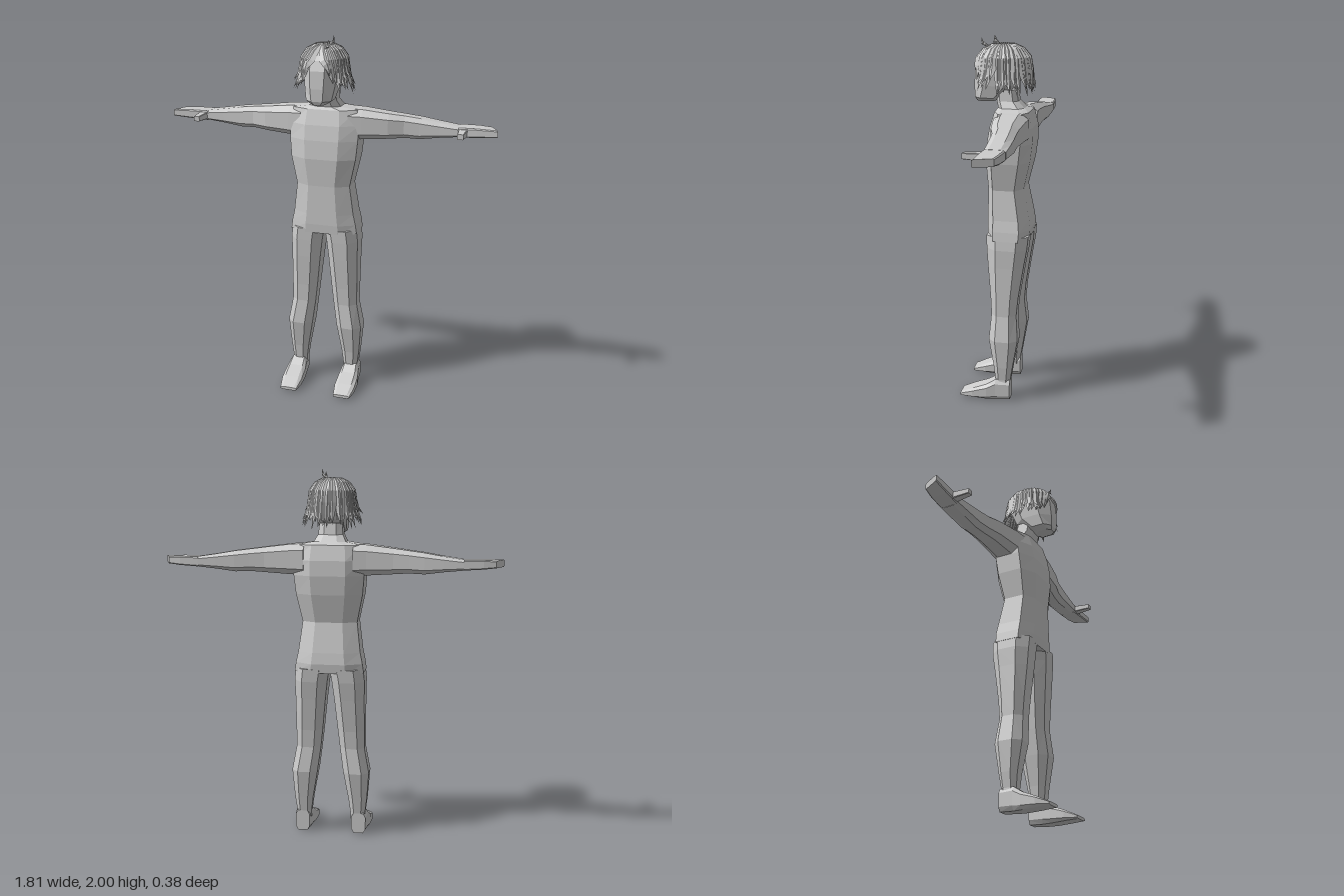
import * as THREE from 'three';

const grey = new THREE.MeshStandardMaterial({ color: 0xcccccc, flatShading: true });
grey.name = 'plain grey';

// Skin a list of equal-length closed rings, cap both ends, and face it outward
function loft(rings) {
  const n = rings[0].length, pos = rings.flat(2), idx = [];
  const total = rings.length * n;
  for (let r = 0; r < rings.length - 1; r++) {
    for (let i = 0; i < n; i++) {
      const a = r * n + i, b = r * n + (i + 1) % n;
      idx.push(a, b, b + n, a, b + n, a + n);
    }
  }
  for (let i = 1; i < n - 1; i++) {
    const e = total - n;
    idx.push(0, i + 1, i, e, e + i, e + i + 1);
  }
  const v = (k) => new THREE.Vector3().fromArray(pos, idx[k] * 3);
  let volume = 0;
  for (let k = 0; k < idx.length; k += 3) volume += v(k).dot(v(k + 1).cross(v(k + 2)));
  if (volume < 0) idx.reverse();
  const g = new THREE.BufferGeometry();
  g.setAttribute('position', new THREE.Float32BufferAttribute(pos, 3));
  g.setIndex(idx);
  g.computeVertexNormals();
  return g;
}

// Bevelled rectangle from (u0, v0) to (u1, v1)
function bevelRect(u0, u1, v0, v1, bu = 0.25, bv = 0.22) {
  const a = (u1 - u0) * bu, b = (v1 - v0) * bv;
  return [[u0 + a, v0], [u1 - a, v0], [u1, v0 + b], [u1, v1 - b],
    [u1 - a, v1], [u0 + a, v1], [u0, v1 - b], [u0, v0 + b]];
}
const ringY = (y, x0, x1, z0, z1, bu, bv) => bevelRect(x0, x1, z0, z1, bu, bv).map(([x, z]) => [x, y, z]);
const ringX = (x, y0, y1, z0, z1, bu, bv) => bevelRect(y0, y1, z0, z1, bu, bv).map(([y, z]) => [x, y, z]);
const ringZ = (z, x0, x1, y0, y1, bu, bv) => bevelRect(x0, x1, y0, y1, bu, bv).map(([x, y]) => [x, y, z]);

function add(parent, name, geometry) {
  const mesh = new THREE.Mesh(geometry, grey);
  mesh.name = name;
  parent.add(mesh);
  return mesh;
}

// One tapered lock following a list of points, lying flat on the head
function lock(points, width, thick) {
  const curve = new THREE.CatmullRomCurve3(points.map((p) => new THREE.Vector3(...p)));
  const centre = new THREE.Vector3(0, 1.8, -0.015), steps = 6, rings = [];
  for (let i = 0; i <= steps; i++) {
    const t = i / steps, p = curve.getPoint(t), tan = curve.getTangent(t);
    const out = p.clone().sub(centre).normalize();
    const side = tan.clone().cross(out).normalize();
    out.copy(side).cross(tan).normalize();
    const k = t < 0.55 ? 0.45 + t : 1 - ((t - 0.55) / 0.45) ** 1.4 * 0.97;
    rings.push([[-1, 0], [0, 1], [1, 0], [0, -1]].map(([s, o]) =>
      p.clone().addScaledVector(side, s * width * k).addScaledVector(out, o * thick * k).toArray()));
  }
  return loft(rings);
}

function seeded(seed) {
  return () => (seed = (seed * 16807) % 2147483647) / 2147483647;
}

// Path from crown to tip; azimuth 0 is the front, positive is the model's left
function hairPath(a0, a1, tipY, flare, lift) {
  const shape = [[0.08, 1.945, 0], [0.55, 1.935, 0.25], [0.9, 1.88, 0.55], [1, 1.8, 0.85], [flare, tipY, 1]];
  return shape.map(([r, y, t]) => {
    const a = a0 + (a1 - a0) * t;
    const yy = t === 0.85 ? Math.max(1.8, tipY + 0.05) : y;
    return [Math.sin(a) * 0.125 * r, yy + (t < 0.6 ? lift : 0), -0.015 + Math.cos(a) * 0.15 * r];
  });
}

function makeHair() {
  const hair = new THREE.Group();
  hair.name = 'hair';
  const scalp = add(hair, 'scalp', new THREE.SphereGeometry(1, 14, 6, 0, Math.PI * 2, 0, Math.PI * 0.36));
  scalp.scale.set(0.122, 0.115, 0.145);
  scalp.position.set(0, 1.833, -0.015);

  // Back and side locks in two layers
  const rand = seeded(71);
  for (let layer = 0; layer < 2; layer++) {
    const count = 23;
    for (let i = 0; i < count; i++) {
      const a = 0.85 + ((i + layer * 0.5) / (count - 1 + layer)) * (2 * Math.PI - 1.7);
      const sideways = Math.abs(Math.sin(a));
      const tipY = (layer ? 1.72 : 1.69) + rand() * 0.03 + (Math.cos(a) > 0.2 ? 0.03 : 0);
      const flare = 1.03 + sideways * 0.2 + rand() * 0.07;
      add(hair, 'hairLock', lock(hairPath(a, a + (rand() - 0.5) * 0.2, tipY, flare, layer * 0.005), 0.027, 0.013));
    }
  }
  // Fringe parted in the middle and swept to both sides
  for (const s of [-1, 1]) {
    [[0.1, 0.52, 1.81], [0.3, 0.66, 1.77], [0.5, 0.82, 1.76], [0.7, 0.98, 1.75]].forEach(([a0, a1, y]) =>
      add(hair, 'fringeLock', lock(hairPath(s * a0, s * a1, y, 1.06, 0.004), 0.027, 0.012)));
  }
  // Two upright tufts on the crown
  add(hair, 'crownTuft', lock([[0, 1.93, 0.0], [0.03, 1.95, 0.01], [0.055, 1.97, 0.015], [0.058, 2, 0.02]], 0.016, 0.008));
  add(hair, 'crownTuft', lock([[0.01, 1.93, 0.05], [0.035, 1.945, 0.07], [0.05, 1.96, 0.085], [0.05, 1.985, 0.09]], 0.014, 0.008));
  return hair;
}

export function createModel() {
  const model = new THREE.Group();
  model.name = 'figure';

  // Torso and neck: height, half width, back z, front z
  const torso = [
    [1.72, 0.06, -0.09, 0.02], [1.66, 0.066, -0.1, 0.015], [1.625, 0.085, -0.135, 0.005],
    [1.61, 0.175, -0.165, 0.015], [1.53, 0.188, -0.185, 0.04], [1.45, 0.187, -0.188, 0.055],
    [1.35, 0.178, -0.175, 0.063], [1.2, 0.147, -0.14, 0.053], [1.04, 0.167, -0.172, 0.053],
    [0.98, 0.18, -0.18, 0.053], [0.93, 0.187, -0.175, 0.05],
  ];
  add(model, 'torso', loft(torso.map(([y, w, b, f]) => ringY(y, -w, w, b, f, 0.25, 0.2))));

  // Head: height, half width, back z, front z
  const head = [
    [1.655, 0.035, 0.03, 0.125], [1.675, 0.068, -0.01, 0.133], [1.74, 0.08, -0.09, 0.135],
    [1.83, 0.09, -0.13, 0.128], [1.89, 0.085, -0.12, 0.105], [1.93, 0.05, -0.07, 0.05],
  ];
  add(model, 'head', loft(head.map(([y, w, b, f]) => ringY(y, -w, w, b, f, 0.28, 0.25))));
  model.add(makeHair());

  // Limbs for the left side; inner and outer x, or lower and upper y, then back and front z
  const leg = [
    [0.95, 0, 0.183, -0.178, 0.05], [0.88, 0.012, 0.19, -0.172, 0.047], [0.78, 0.024, 0.188, -0.155, 0.04],
    [0.6, 0.042, 0.188, -0.127, 0.025], [0.5, 0.053, 0.188, -0.118, 0.02], [0.36, 0.072, 0.214, -0.13, 0.03],
    [0.2, 0.1, 0.202, -0.103, 0.003], [0.12, 0.11, 0.192, -0.09, -0.005], [0.08, 0.11, 0.195, -0.088, 0],
  ];
  const foot = [
    [-0.09, 0.118, 0.197, 0.005, 0.12], [-0.01, 0.108, 0.205, 0, 0.122],
    [0.04, 0.102, 0.213, 0, 0.09], [0.12, 0.1, 0.215, 0.004, 0.058], [0.19, 0.11, 0.203, 0.008, 0.025],
  ];
  const arm = [
    [0.13, 1.45, 1.615, -0.175, 0.01], [0.2, 1.453, 1.612, -0.17, 0], [0.34, 1.462, 1.595, -0.165, -0.022],
    [0.42, 1.468, 1.585, -0.168, -0.047], [0.5, 1.465, 1.575, -0.173, -0.055],
    [0.6, 1.478, 1.558, -0.175, -0.062], [0.7, 1.488, 1.543, -0.175, -0.068],
  ];
  for (const s of [1, -1]) {
    const side = s > 0 ? 'left' : 'right';
    const flip = (rings) => loft(rings.map((r) => r.map(([x, y, z]) => [s * x, y, z])));
    add(model, side + 'Leg', flip(leg.map((r) => ringY(...r, 0.26, 0.25))));
    add(model, side + 'Foot', flip(foot.map((r) => ringZ(...r, 0.16, 0.2))));
    add(model, side + 'Arm', flip(arm.map((r) => ringX(...r, 0.2, 0.24))));

    // Mitten hand with a slanted tip
    const hand = [[0.7, 1.49, 1.542, -0.173, -0.068], [0.8, 1.496, 1.543, -0.168, -0.066], [0.88, 1.503, 1.54, -0.158, -0.065]]
      .map((r) => ringX(...r, 0.12, 0.06));
    hand[2] = hand[2].map(([, y, z]) => [0.905 + (z + 0.065) * 0.45, y, z]);
    add(model, side + 'Hand', flip(hand));
    add(model, side + 'Thumb', flip([[-0.09, 0.7, 0.75, 1.495, 1.535], [0.022, 0.71, 0.742, 1.502, 1.53]]
      .map((r) => ringZ(...r, 0.08, 0.08))));
  }
  return model;
}
